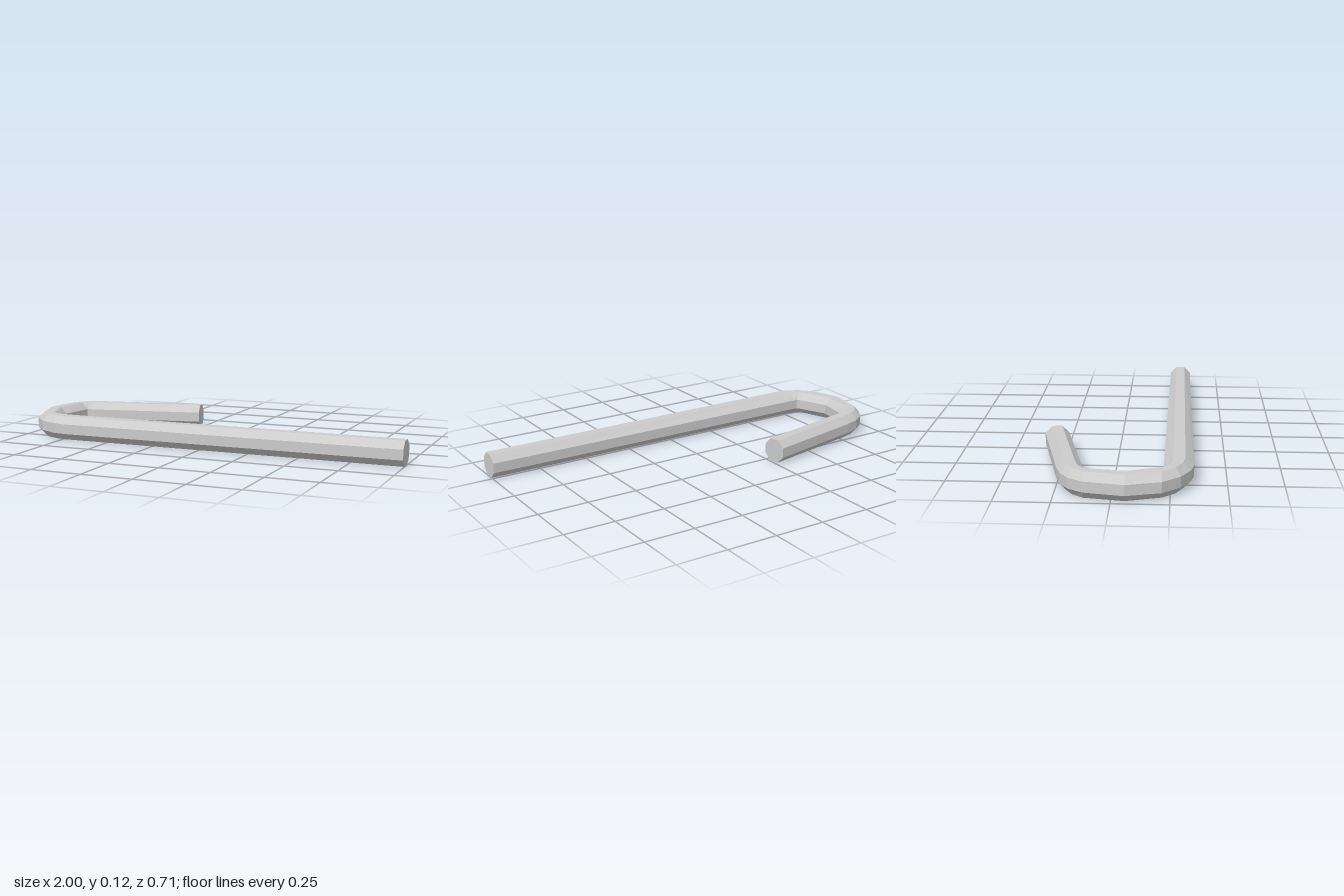
import * as THREE from 'three';

const SIDES = 8;
const HEIGHT = 0.118;

// Each station: [outerX, outerZ, innerX, innerZ], a slice across the bar
const SHAFT = [[1, 0.342, 1, 0.23], [-0.72, 0.353, -0.74, 0.22]];
const BEND = [
  SHAFT[1],
  [-0.79, 0.34, -0.79, 0.219],
  [-0.88, 0.295, -0.808, 0.218],
  [-0.955, 0.215, -0.815, 0.213],
  [-1, 0.06, -0.882, 0.06],
  [-0.965, -0.12, -0.857, -0.12],
  [-0.92, -0.185, -0.835, -0.125],
  [-0.86, -0.225, -0.815, -0.127],
  [-0.78, -0.25, -0.76, -0.138],
];
const TIP = [BEND[BEND.length - 1], [-0.272, -0.357, -0.25, -0.245]];

// Octagonal slice with flat top and bottom
function ring([ox, oz, ix, iz]) {
  const points = [];
  for (let j = 0; j < SIDES; j++) {
    const a = ((j + 0.5) / SIDES) * Math.PI * 2;
    const r = 0.5 / Math.cos(Math.PI / SIDES);
    const u = 0.5 + r * Math.cos(a);
    points.push(new THREE.Vector3(
      ix + (ox - ix) * u,
      HEIGHT * (0.5 + r * Math.sin(a)),
      iz + (oz - iz) * u,
    ));
  }
  return points;
}

// Skin the slices, closing only the free ends
function bar(name, stations, material, capStart, capEnd) {
  const rings = stations.map(ring);
  const last = rings[rings.length - 1];
  const tris = [];
  for (let i = 0; i < rings.length - 1; i++) {
    for (let j = 0; j < SIDES; j++) {
      const k = (j + 1) % SIDES;
      const a = rings[i][j], b = rings[i][k];
      const c = rings[i + 1][j], d = rings[i + 1][k];
      tris.push(a, b, c, b, d, c);
    }
  }
  for (let j = 1; j < SIDES - 1; j++) {
    if (capStart) tris.push(rings[0][0], rings[0][j + 1], rings[0][j]);
    if (capEnd) tris.push(last[0], last[j], last[j + 1]);
  }
  const geometry = new THREE.BufferGeometry().setFromPoints(tris);
  geometry.computeVertexNormals();
  const mesh = new THREE.Mesh(geometry, material);
  mesh.name = name;
  return mesh;
}

export function createModel() {
  const group = new THREE.Group();
  group.name = 'hookedBar';
  const material = new THREE.MeshStandardMaterial({ color: 0xcccccc, flatShading: true });
  group.add(
    bar('shaft', SHAFT, material, true, false),
    bar('bend', BEND, material, false, false),
    bar('tip', TIP, material, false, true),
  );
  return group;
}
